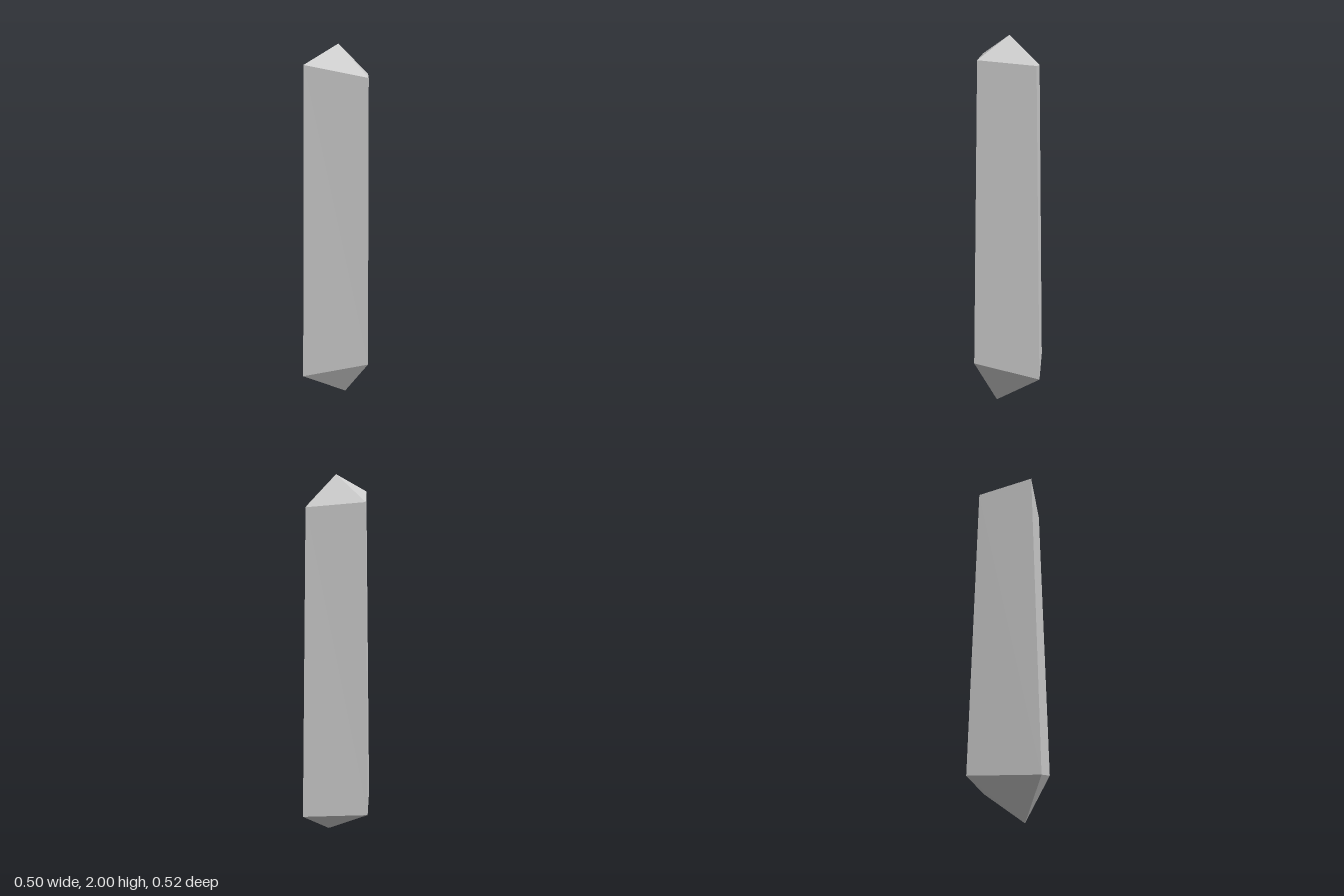
import * as THREE from 'three';

// Rings run front, left (+x), back, right (-x)
const lowerRing = [[0, 0.18, 0.26], [0.25, 0.26, -0.01], [0, 0.18, -0.26], [-0.25, 0.195, -0.01]];
const upperRing = [[0, 1.92, 0.215], [0.215, 1.86, -0.01], [0, 1.83, -0.22], [-0.215, 1.855, -0.01]];
const tip = [0, 2, -0.01];
const root = [0.08, 0, 0.005];

function facets(triangles) {
  const geometry = new THREE.BufferGeometry();
  geometry.setAttribute('position', new THREE.Float32BufferAttribute(triangles.flat(2), 3));
  geometry.computeVertexNormals();
  return geometry;
}

export function createModel() {
  const group = new THREE.Group();
  group.name = 'crystal';
  const material = new THREE.MeshStandardMaterial({ color: 0xcccccc, flatShading: true });
  const shaft = [], crown = [], base = [];

  // One side, one crown facet and one base facet per corner
  for (let i = 0; i < 4; i++) {
    const j = (i + 1) % 4;
    const a = lowerRing[i], b = lowerRing[j], c = upperRing[j], d = upperRing[i];
    shaft.push([a, b, d], [b, c, d]);
    crown.push([d, c, tip]);
    base.push([b, a, root]);
  }

  for (const [name, triangles] of Object.entries({ shaft, crown, base })) {
    const mesh = new THREE.Mesh(facets(triangles), material);
    mesh.name = name;
    group.add(mesh);
  }
  return group;
}
